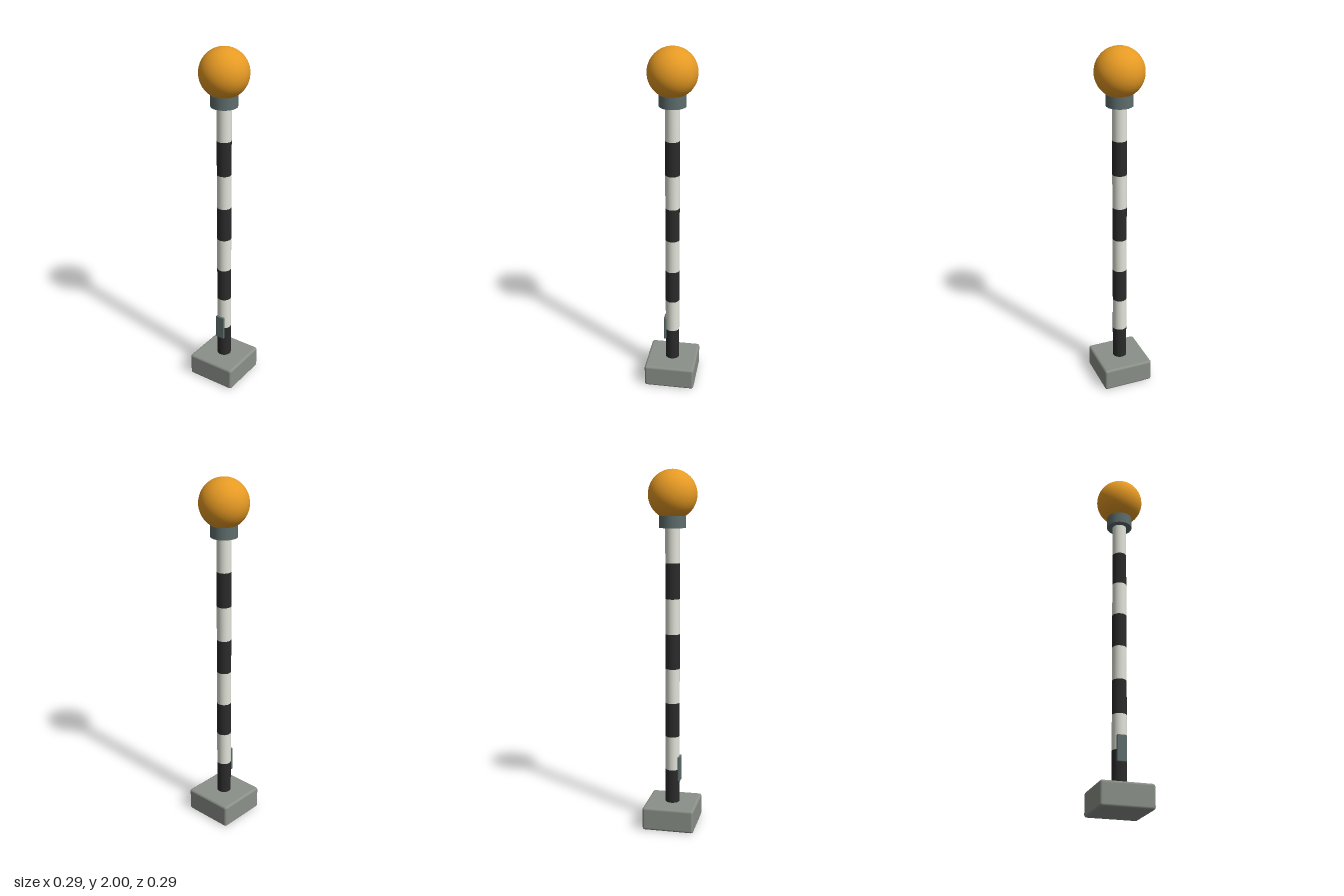
import * as THREE from 'three';
import { RoundedBoxGeometry } from 'three/addons/geometries/RoundedBoxGeometry.js';

const material = (name, color) => {
  const m = new THREE.MeshStandardMaterial({ color });
  m.name = name;
  return m;
};

export function createModel() {
  const group = new THREE.Group();
  const stone = material('concrete grey', 0x8b9089);
  const black = material('black', 0x2b2b2c);
  const white = material('off white', 0xe2e3d8);
  const metal = material('slate metal', 0x5f6e6e);
  const amber = material('amber', 0xe69a24);

  const add = (name, geometry, mat, y, z = 0) => {
    const mesh = new THREE.Mesh(geometry, mat);
    mesh.name = name;
    mesh.position.set(0, y, z);
    group.add(mesh);
  };

  // Bevelled square footing
  add('base', new RoundedBoxGeometry(0.292, 0.133, 0.292, 2, 0.014), stone, 0.0665);

  // Pole of alternating bands, black at the bottom
  const bands = 8, bottom = 0.132, bandHeight = 0.1955;
  for (let i = 0; i < bands; i++) {
    const band = new THREE.CylinderGeometry(0.04, 0.04, bandHeight, 24);
    add(`poleBand${i + 1}`, band, i % 2 ? white : black, bottom + bandHeight * (i + 0.5));
  }

  // Access plate on the front of the pole
  add('accessPlate', new RoundedBoxGeometry(0.053, 0.145, 0.014, 2, 0.004), metal, 0.332, 0.041);

  // Collar and globe lamp
  add('collar', new THREE.CylinderGeometry(0.073, 0.073, 0.065, 20), metal, 1.7225);
  add('globe', new THREE.SphereGeometry(0.133, 40, 28), amber, 1.867);

  return group;
}
